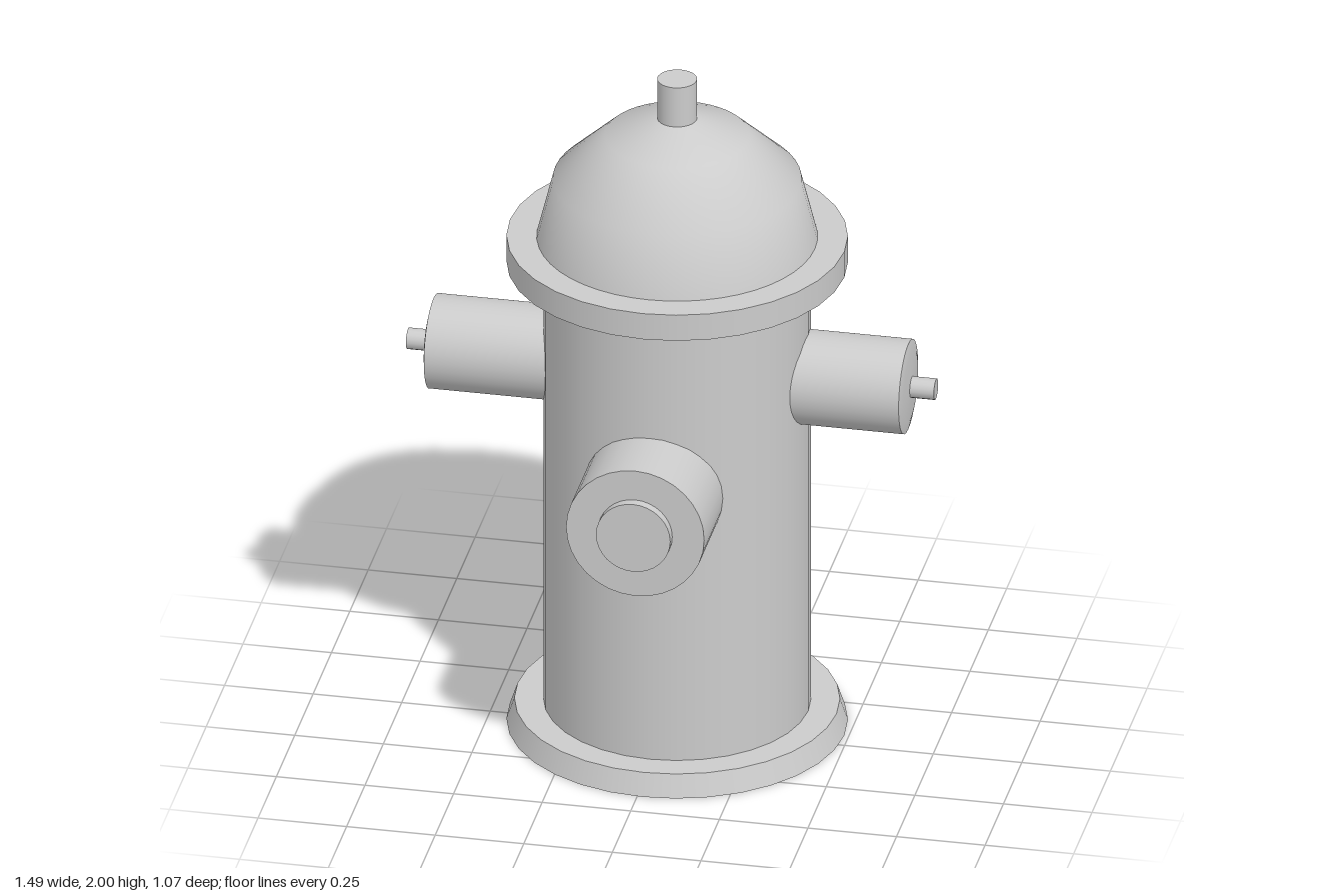
import * as THREE from 'three';

const CX = 0.015, CZ = -0.06, SEG = 32;

export function createModel() {
  const group = new THREE.Group();
  const material = new THREE.MeshStandardMaterial({ color: 0xcccccc });

  const add = (name, geometry, x, y, z) => {
    const mesh = new THREE.Mesh(geometry, material);
    mesh.name = name;
    mesh.position.set(x, y, z);
    group.add(mesh);
    return mesh;
  };

  // Upright disc or column between two heights on the main axis
  const column = (name, rTop, rBottom, y0, y1) =>
    add(name, new THREE.CylinderGeometry(rTop, rBottom, y1 - y0, SEG), CX, (y0 + y1) / 2, CZ);

  column('base', 0.45, 0.472, 0, 0.065);
  column('barrel', 0.37, 0.37, 0.06, 1.44);
  column('flange', 0.472, 0.472, 1.43, 1.51);
  column('topStem', 0.055, 0.055, 1.86, 2);

  // Bonnet: a dome with few rings, smooth all round
  const dome = [[0.39, 1.505], [0.344, 1.69], [0.2, 1.825], [0.055, 1.878], [0, 1.885]]
    .map(([r, y]) => new THREE.Vector2(r, y));
  add('bonnet', new THREE.LatheGeometry(dome, 48), CX, 0, CZ);

  // Side outlets with slightly crowned ends and a small nut
  for (const [side, end] of [['left', 0.667], ['right', -0.673]]) {
    const s = Math.sign(end), start = s * 0.2, tip = s * 0.745;
    const barrel = new THREE.CylinderGeometry(0.133, 0.133, Math.abs(end - start), SEG, 1, true);
    add(side + 'Outlet', barrel.rotateZ(-s * Math.PI / 2), (start + end) / 2, 1.107, CZ - 0.002);

    const crown = [[0.133, 0], [0.1, 0.007], [0, 0.011]].map(([r, y]) => new THREE.Vector2(r, y));
    add(side + 'OutletEnd', new THREE.LatheGeometry(crown, SEG).rotateZ(-s * Math.PI / 2), end, 1.107, CZ - 0.002);

    const nut = new THREE.CylinderGeometry(0.03, 0.03, Math.abs(tip - end), 16);
    add(side + 'OutletNut', nut.rotateZ(-s * Math.PI / 2), (end + tip) / 2, 1.107, CZ - 0.002);
  }

  // Large front outlet and its raised cap
  const frontPart = (name, r, z0, z1) =>
    add(name, new THREE.CylinderGeometry(r, r, z1 - z0, SEG).rotateX(Math.PI / 2), 0.014, 0.872, (z0 + z1) / 2);
  frontPart('frontOutlet', 0.195, 0.1, 0.507);
  frontPart('frontOutletCap', 0.105, 0.49, 0.535);

  return group;
}
